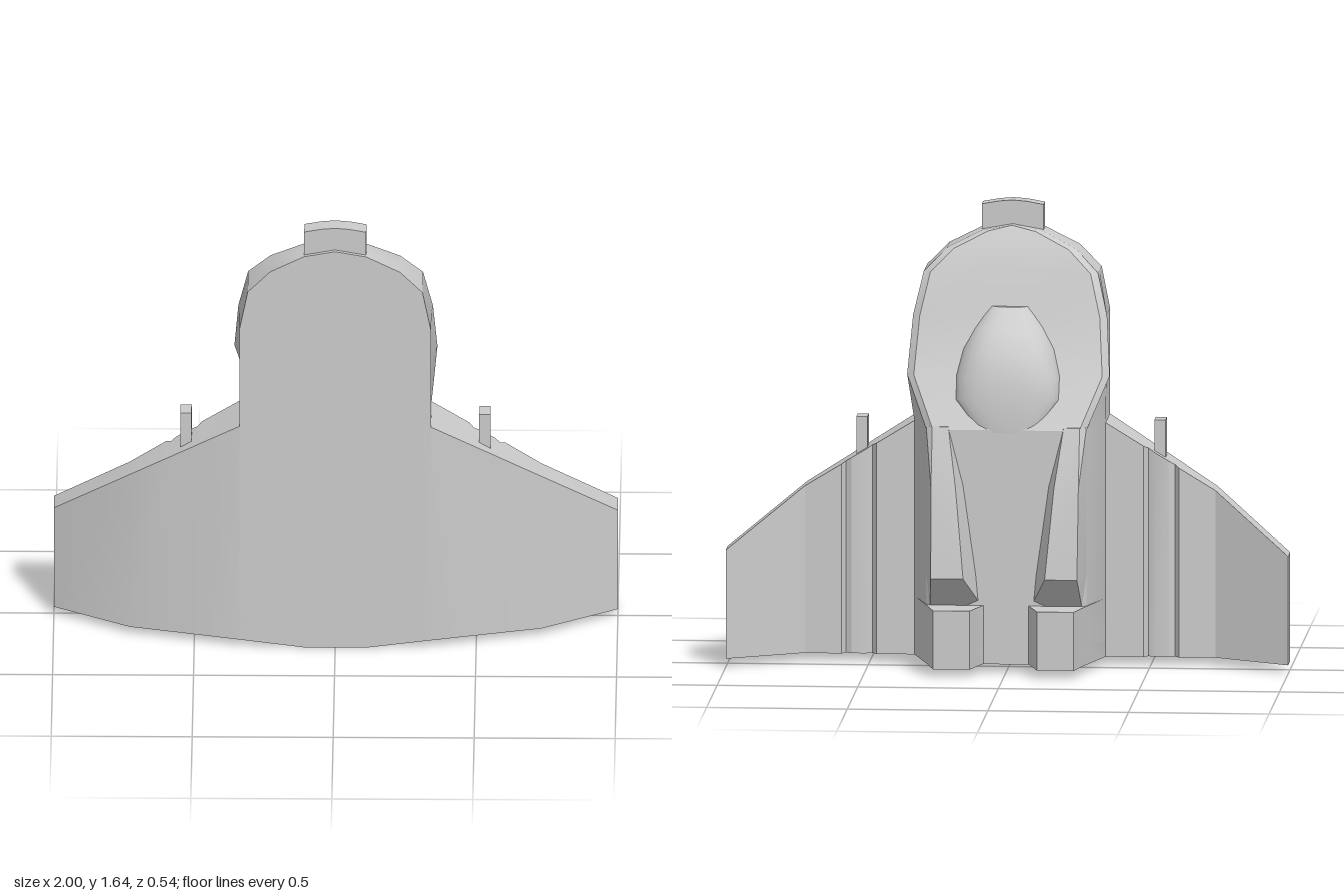
import * as THREE from 'three';
import { toCreasedNormals } from 'three/addons/utils/BufferGeometryUtils.js';

const material = new THREE.MeshStandardMaterial({ color: 0xcccccc });

function part(name, geometry, crease = 0.5) {
  const mesh = new THREE.Mesh(toCreasedNormals(geometry, crease), material);
  mesh.name = name;
  return mesh;
}

// Skin a list of rings (arrays of [x, y, z]) and cap both ends; faces are turned outward.
function loft(rings) {
  const n = rings[0].length;
  const points = rings.flat();
  const index = [];
  for (let r = 0; r < rings.length - 1; r++) {
    for (let i = 0; i < n; i++) {
      const a = r * n + i, b = r * n + (i + 1) % n;
      index.push(a, b, b + n, a, b + n, a + n);
    }
  }
  const last = (rings.length - 1) * n;
  for (let i = 1; i < n - 1; i++) {
    index.push(0, i + 1, i, last, last + i, last + i + 1);
  }
  let volume = 0;
  const [a, b, c] = [0, 1, 2].map(() => new THREE.Vector3());
  for (let i = 0; i < index.length; i += 3) {
    a.fromArray(points[index[i]]);
    b.fromArray(points[index[i + 1]]);
    c.fromArray(points[index[i + 2]]);
    volume += a.dot(b.cross(c));
  }
  if (volume < 0) index.reverse();
  const geometry = new THREE.BufferGeometry();
  geometry.setAttribute('position', new THREE.Float32BufferAttribute(points.flat(), 3));
  geometry.setIndex(index);
  return geometry;
}

// Close a half outline of [x, z] points with its mirror image.
const mirrored = (half) => [...half, ...half.slice().reverse().map(([x, z]) => [-x, z])];

// Extrude an [x, z] outline upward between two heights.
function slab(outline, y0, y1, holes = []) {
  const toVectors = (list) => list.map(([x, z]) => new THREE.Vector2(x, -z));
  const shape = new THREE.Shape(toVectors(outline));
  holes.forEach((h) => shape.holes.push(new THREE.Path(toVectors(h))));
  return new THREE.ExtrudeGeometry(shape, { depth: y1 - y0, bevelEnabled: false })
    .rotateX(-Math.PI / 2).translate(0, y0, 0);
}

function createHull() {
  // height, front half width, z of side bend, rim half width, rim z
  const stations = [
    [0.24, 0.34, 0.06, 0.285, -0.14],
    [0.87, 0.34, 0.06, 0.285, -0.14],
    [1.05, 0.34, 0.1, 0.36, -0.04],
    [1.25, 0.34, 0.12, 0.345, 0.045],
    [1.40, 0.31, 0.17, 0.31, 0.08],
    [1.48, 0.23, 0.2, 0.23, 0.115],
    [1.54, 0.11, 0.22, 0.11, 0.142],
    [1.56, 0.0, 0.22, 0.0, 0.155],
  ];
  return part('hull', loft(stations.map(([y, w, bend, rx, rz]) =>
    mirrored([
      [w, 0.27], [w, bend], [rx, rz + 0.02], [Math.max(rx - 0.025, 0), rz], [rx * 0.4, rz],
    ]).map(([x, z]) => [x, y, z]))));
}

// Tail block with both nozzles in its outline and a cavity below each.
function createTail() {
  const group = new THREE.Group();
  group.name = 'tail';
  const outline = mirrored([
    [0.11, 0.27], [0.34, 0.27], [0.34, 0.06], [0.28, -0.15],
    [0.25, -0.27], [0.12, -0.27], [0.085, -0.15], [0.08, -0.14],
  ]);
  const cavity = [[0.13, -0.24], [0.24, -0.24], [0.265, -0.15], [0.25, 0.04], [0.12, 0.04], [0.1, -0.15]];
  const lower = slab(outline, 0.03, 0.09, [cavity, cavity.map(([x, z]) => [-x, z])]);
  // Lower the middle of the front edge
  const p = lower.attributes.position;
  for (let i = 0; i < p.count; i++) {
    if (p.getY(i) < 0.04 && p.getZ(i) > 0.2 && Math.abs(p.getX(i)) < 0.2) p.setY(i, 0);
  }
  group.add(part('nozzleRims', lower), part('nozzleBlock', slab(outline, 0.09, 0.24)));
  return group;
}

function createCanopy() {
  // height, half width, outermost z, base z
  const stations = [
    [1.285, 0.07, 0.035, 0.08],
    [1.21, 0.13, -0.045, 0.1],
    [1.14, 0.165, -0.11, 0.06],
    [1.05, 0.19, -0.132, 0.02],
    [0.97, 0.19, -0.147, -0.04],
    [0.86, 0.11, -0.142, -0.1],
  ];
  return part('canopy', loft(stations.map(([y, w, top, base]) => {
    const ring = [];
    for (let i = 0; i <= 12; i++) {
      const t = (Math.PI * i) / 12;
      const c = Math.cos(t);
      ring.push([w * Math.sign(c) * Math.abs(c) ** 0.75, y, base + (top - base) * Math.sin(t) ** 0.75]);
    }
    return ring;
  })), 0.7);
}

function createWing(side) {
  const group = new THREE.Group();
  group.name = side > 0 ? 'leftWing' : 'rightWing';
  // x, front z, back z (with two grooves), top height
  const stations = [
    [0.30, 0.27, 0.06, 0.87], [0.34, 0.27, 0.06, 0.87],
    [0.475, 0.235, 0.06, 0.787], [0.49, 0.232, 0.082, 0.778], [0.515, 0.225, 0.07, 0.762],
    [0.565, 0.212, 0.07, 0.732], [0.585, 0.207, 0.082, 0.719], [0.60, 0.203, 0.06, 0.71],
    [0.73, 0.17, 0.065, 0.63], [1.0, 0.01, -0.088, 0.42],
  ];
  group.add(part('wingPanel', loft(stations.map(([x, front, back, top]) => [
    [side * x, 0.03, front], [side * x, 0.03, back],
    [side * x, top, back], [side * x, top, front],
  ]))));
  const gun = new THREE.BoxGeometry(0.04, 0.17, 0.07);
  gun.translate(side * 0.53, 0.79, 0.14);
  group.add(part('wingGun', gun));
  return group;
}

// Raised engine fairing running down the back to a nozzle
function createFairing(side) {
  // height, ridge z, inner ridge x, inner base x, outer x
  const stations = [
    [0.24, -0.14, 0.14, 0.09, 0.27],
    [0.35, -0.24, 0.145, 0.1, 0.26],
    [0.67, -0.2, 0.175, 0.145, 0.262],
    [0.88, -0.138, 0.205, 0.2, 0.262],
  ];
  return part(side > 0 ? 'leftEngineFairing' : 'rightEngineFairing',
    loft(stations.map(([y, z, ridge, base, outer]) => [
      [side * base, y, -0.12], [side * ridge, y, z],
      [side * outer, y, z], [side * 0.285, y, -0.12],
    ])), 0.3);
}

function createNoseBlock() {
  const shape = new THREE.Shape([
    [-0.11, 1.5], [0.11, 1.5], [0.11, 1.63], [0.05, 1.641], [0, 1.645], [-0.05, 1.641], [-0.11, 1.63],
  ].map(([x, y]) => new THREE.Vector2(x, y)));
  const geometry = new THREE.ExtrudeGeometry(shape, { depth: 0.065, bevelEnabled: false });
  return part('noseBlock', geometry.translate(0, 0, 0.19));
}

export function createModel() {
  const model = new THREE.Group();
  model.name = 'spacecraft';
  model.add(createHull(), createTail(), createCanopy(), createNoseBlock());
  for (const side of [1, -1]) model.add(createWing(side), createFairing(side));
  return model;
}
